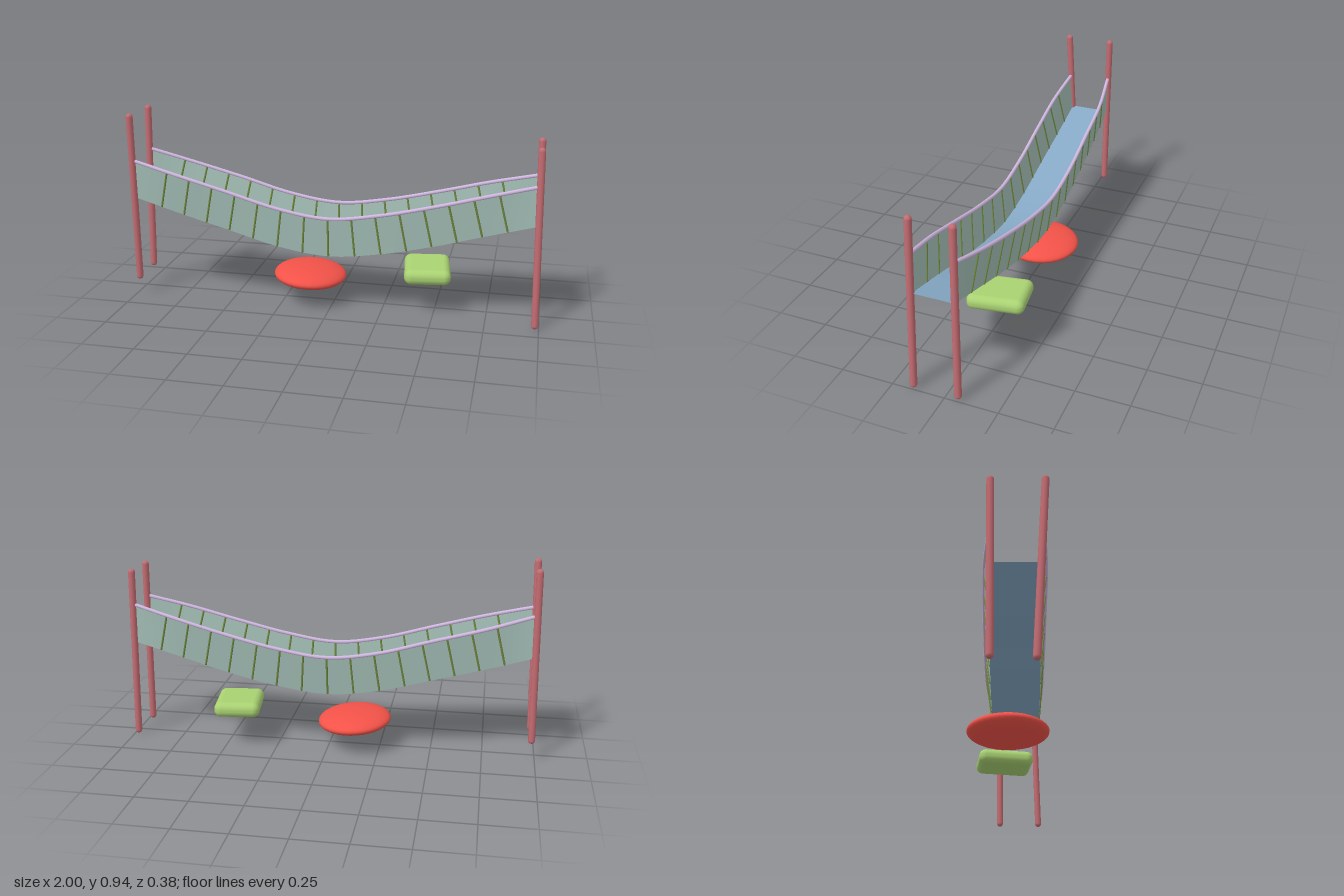
import * as THREE from 'three';
import { RoundedBoxGeometry } from 'three/addons/geometries/RoundedBoxGeometry.js';

const V = (x, y, z) => new THREE.Vector3(x, y, z);
const mat = (color, thin) => new THREE.MeshStandardMaterial({ color, side: thin ? THREE.DoubleSide : THREE.FrontSide });
const curve = pts => new THREE.CatmullRomCurve3(pts.map(p => V(...p)));

// Deck edges and handrails, from the left-hand end (-x) to the other
const deckFront = curve([[-0.975, 0.518, 0.14], [-0.74, 0.45, 0.143], [-0.5, 0.385, 0.146], [-0.24, 0.316, 0.148],
  [0, 0.286, 0.148], [0.24, 0.313, 0.148], [0.5, 0.37, 0.146], [0.74, 0.436, 0.142], [0.975, 0.497, 0.136]]);
const deckBack = curve([[-0.975, 0.518, -0.06], [-0.74, 0.45, -0.07], [-0.5, 0.385, -0.076], [-0.24, 0.316, -0.078],
  [0, 0.286, -0.078], [0.24, 0.313, -0.078], [0.5, 0.37, -0.076], [0.74, 0.436, -0.07], [0.975, 0.497, -0.057]]);
const railFront = curve([[-0.965, 0.705, 0.152], [-0.74, 0.648, 0.168], [-0.5, 0.583, 0.168], [-0.24, 0.511, 0.166],
  [0, 0.477, 0.164], [0.24, 0.508, 0.165], [0.5, 0.567, 0.165], [0.74, 0.629, 0.158], [0.968, 0.683, 0.138]]);
const railBack = curve([[-0.965, 0.718, -0.062], [-0.74, 0.652, -0.092], [-0.5, 0.587, -0.1], [-0.24, 0.514, -0.104],
  [0, 0.481, -0.105], [0.24, 0.511, -0.104], [0.5, 0.57, -0.1], [0.74, 0.632, -0.09], [0.968, 0.688, -0.059]]);

// Point on a curve with the given x
function atX(c, x) {
  let lo = 0, hi = 1;
  for (let i = 0; i < 30; i++) {
    const m = (lo + hi) / 2;
    if (c.getPoint(m).x < x) lo = m; else hi = m;
  }
  return c.getPoint(lo);
}

// Ruled sheet between two curves
function sheet(a, b, n = 64) {
  const pos = [], idx = [];
  for (let i = 0; i <= n; i++) {
    pos.push(...a.getPoint(i / n).toArray(), ...b.getPoint(i / n).toArray());
    if (i < n) idx.push(2 * i, 2 * i + 2, 2 * i + 1, 2 * i + 1, 2 * i + 2, 2 * i + 3);
  }
  const g = new THREE.BufferGeometry();
  g.setAttribute('position', new THREE.Float32BufferAttribute(pos, 3));
  g.setIndex(idx);
  g.computeVertexNormals();
  return g;
}

// Round-ended rod between two end points
function rod(a, b, r, sides, material) {
  const d = b.clone().sub(a);
  const m = new THREE.Mesh(new THREE.CapsuleGeometry(r, d.length() - 2 * r, 5, sides), material);
  m.position.copy(a).add(b).multiplyScalar(0.5);
  m.quaternion.setFromUnitVectors(V(0, 1, 0), d.normalize());
  return m;
}

export function createModel() {
  const model = new THREE.Group();
  const add = (name, mesh, parent = model) => { mesh.name = name; parent.add(mesh); return mesh; };
  const wood = mat(0xc46c72), net = mat(0xa3beb6, true), railMat = mat(0xd0b8e0);
  const ropeMat = mat(0x71883f), deckMat = mat(0x86a9c6, true);

  // Leaning end posts
  const posts = [
    ['postLeftFront', V(0.982, 0.005, 0.156), V(0.965, 0.862, 0.134)],
    ['postLeftBack', V(0.982, 0.008, -0.057), V(0.965, 0.865, -0.06)],
    ['postRightFront', V(-0.982, 0.083, 0.119), V(-0.967, 0.94, 0.166)],
    ['postRightBack', V(-0.982, 0.09, -0.06), V(-0.967, 0.94, -0.064)]
  ];
  for (const [name, a, b] of posts) add(name, rod(a, b, 0.0165, 16, wood));

  // Sagging walkway
  add('deck', new THREE.Mesh(sheet(deckFront, deckBack), deckMat));

  // Side panel, handrail and hanger ropes on each side
  for (const [label, deck, rail] of [['front', deckFront, railFront], ['back', deckBack, railBack]]) {
    add(label + 'Panel', new THREE.Mesh(sheet(rail, deck), net));
    add(label + 'Handrail', new THREE.Mesh(new THREE.TubeGeometry(rail, 80, 0.009, 8), railMat));
    const ropes = add(label + 'Ropes', new THREE.Group());
    for (let i = -7; i <= 7; i++) {
      const x = i * 0.113;
      const lean = 0.045 * Math.tanh(i / 3);
      add('rope', rod(atX(rail, x), atX(deck, x + lean), 0.005, 8, ropeMat), ropes);
    }
  }

  // Flat stones below the bridge
  const red = add('redStone', new THREE.Mesh(new THREE.SphereGeometry(1, 32, 20), mat(0xf25248)));
  red.scale.set(0.178, 0.048, 0.192);
  red.position.set(-0.123, 0.137, 0);
  red.rotation.z = -0.06;
  const green = add('greenStone', new THREE.Mesh(new RoundedBoxGeometry(0.222, 0.074, 0.275, 6, 0.034), mat(0xa9d272)));
  green.position.set(0.455, 0.194, -0.025);
  green.rotation.set(0.025, 0.13, 0);
  return model;
}
